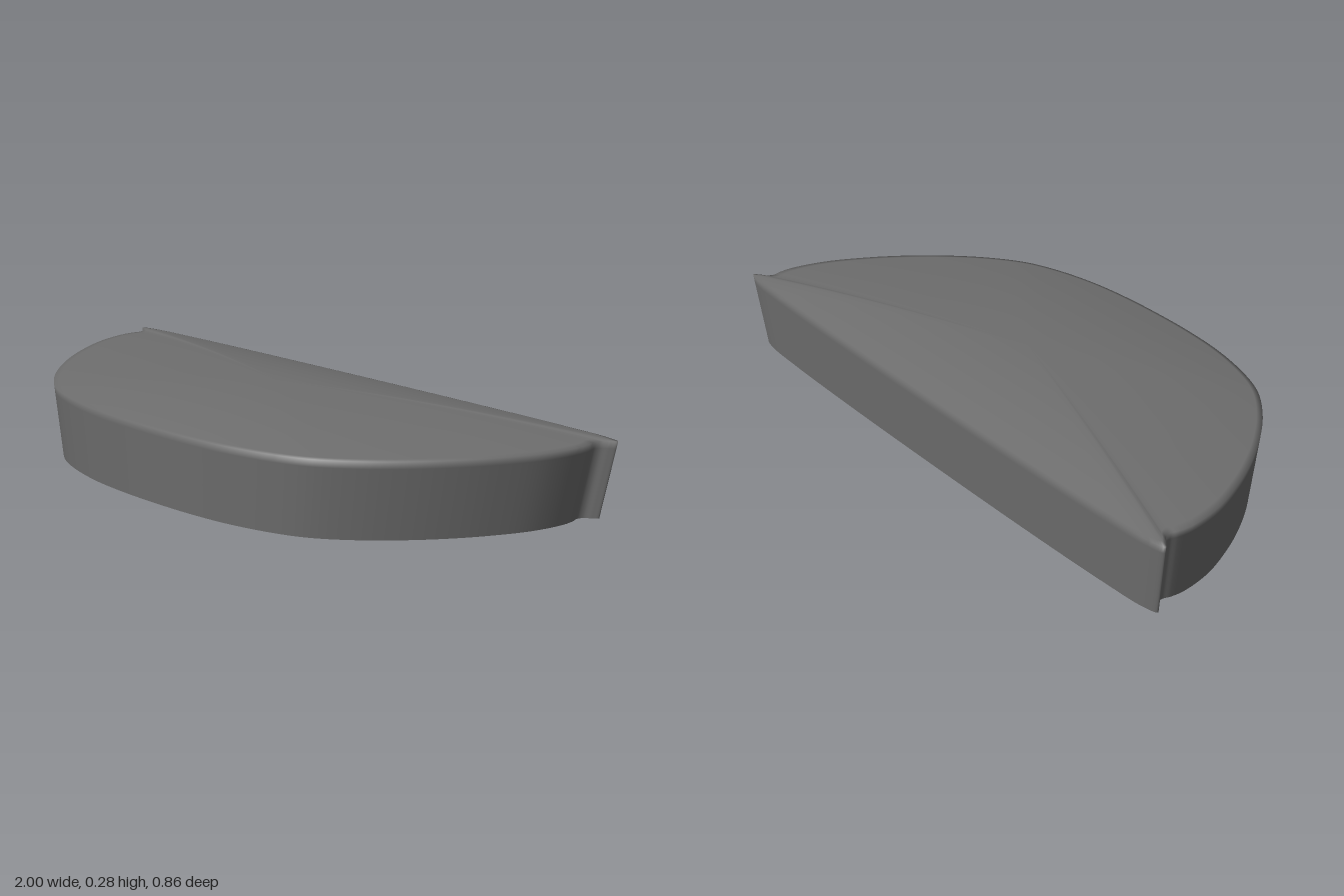
import * as THREE from 'three';
import { mergeVertices } from 'three/addons/utils/BufferGeometryUtils.js';

// Half of the rim outline (x, z), from the back centre round the tip to the front centre
const HALF = [
  [0, -0.433], [0.5, -0.43], [0.8, -0.423], [0.95, -0.414], [0.998, -0.4], [0.985, -0.386],
  [0.964, -0.37], [0.956, -0.35], [0.962, -0.325], [0.964, -0.28], [0.94, -0.17], [0.885, -0.05],
  [0.825, 0.05], [0.75, 0.15], [0.655, 0.25], [0.55, 0.33], [0.45, 0.373], [0.3, 0.41],
  [0.15, 0.426], [0, 0.43],
];
const RIM_Y = 0.226, DOME = 0.051, CENTRE_Z = -0.07, BASE_SCALE = 0.96;

function rimOutline() {
  const mirrored = HALF.slice(1, -1).reverse().map(([x, z]) => [-x, z]);
  const points = [...HALF, ...mirrored].map(([x, z]) => new THREE.Vector3(x, 0, z));
  return new THREE.CatmullRomCurve3(points, true, 'centripetal').getPoints(points.length * 6).slice(0, -1);
}

// Open shell: flared wall from the base up to the rim, then a shallow dome closing to the centre
function shellGeometry() {
  const outline = rimOutline();
  const n = outline.length;
  const rings = [];
  for (const y of [0, 0.1, 0.205, RIM_Y]) {
    const s = BASE_SCALE + (1 - BASE_SCALE) * (y / RIM_Y);
    rings.push(outline.map((p) => [p.x * s, y, p.z * s]));
  }
  for (const t of [0.975, 0.9, 0.8, 0.7, 0.6, 0.5, 0.4, 0.3, 0.2, 0.1, 0]) {
    const y = RIM_Y + DOME * (1 - t * t);
    rings.push(outline.map((p) => [p.x * t, y, CENTRE_Z + (p.z - CENTRE_Z) * t]));
  }
  const index = [];
  for (let j = 0; j < rings.length - 1; j++) {
    for (let i = 0; i < n; i++) {
      const k = (i + 1) % n;
      const a = j * n + i, b = j * n + k, c = a + n, d = b + n;
      index.push(a, c, b);
      if (j < rings.length - 2) index.push(b, c, d);
    }
  }
  const geometry = new THREE.BufferGeometry();
  geometry.setAttribute('position', new THREE.Float32BufferAttribute(rings.flat(2), 3));
  geometry.setIndex(index);
  const merged = mergeVertices(geometry, 1e-5);
  merged.computeVertexNormals();
  return merged;
}

export function createModel() {
  const grey = new THREE.MeshStandardMaterial({ color: 0x6e6e6e, side: THREE.DoubleSide });
  grey.name = 'grey';
  const shell = new THREE.Mesh(shellGeometry(), grey);
  shell.name = 'domedShell';
  const group = new THREE.Group();
  group.name = 'halfRoundCap';
  group.add(shell);
  return group;
}
